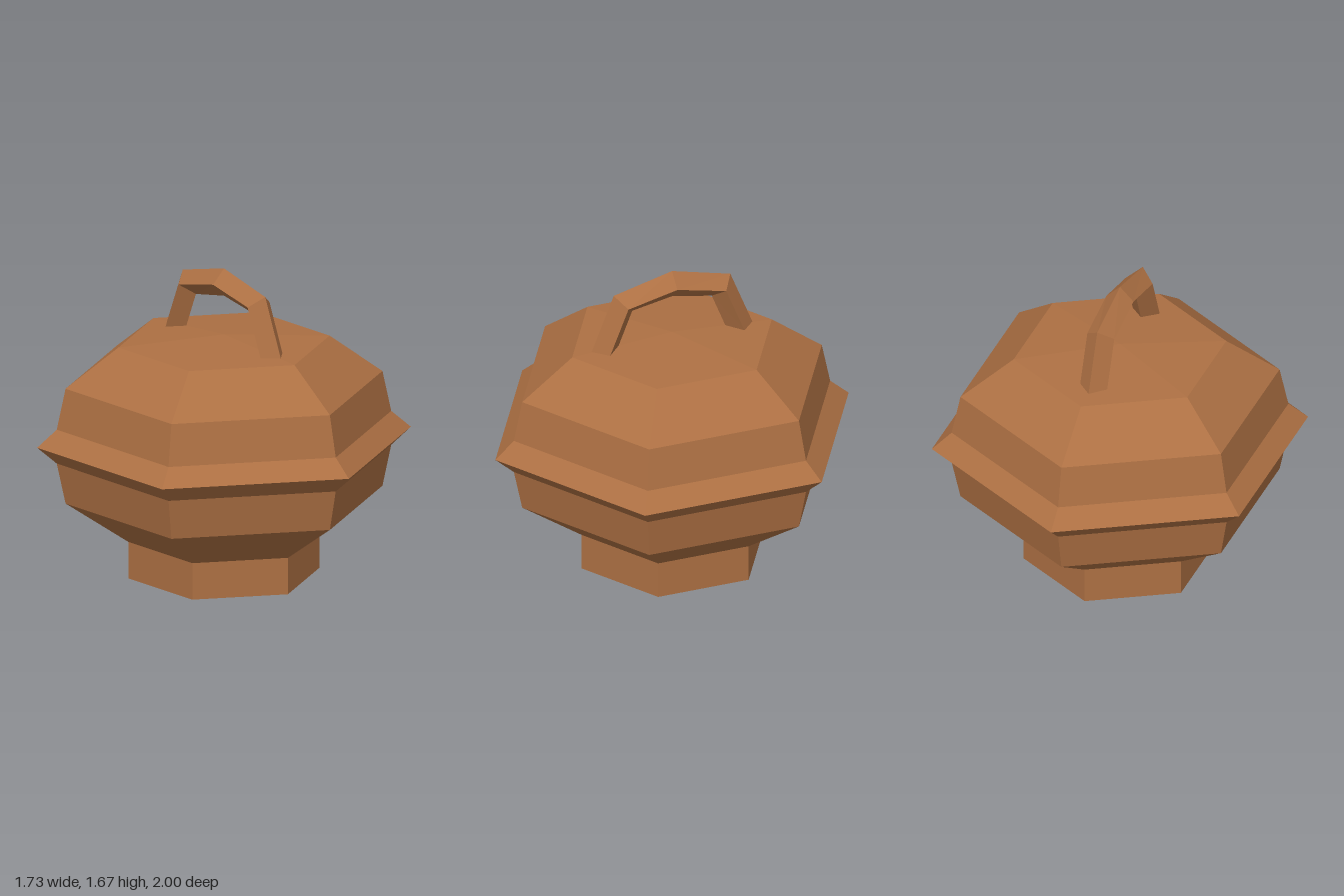
import * as THREE from 'three';

const SIDES = 6;

// Separate the faces so every facet gets its own flat normal
function faceted(geometry) {
  const flat = geometry.index ? geometry.toNonIndexed() : geometry;
  flat.computeVertexNormals();
  return flat;
}

// Six-sided turned part from [radius, height] points, bottom to top
function turned(profile) {
  const points = profile.map(([r, y]) => new THREE.Vector2(r, y));
  return faceted(new THREE.LatheGeometry(points, SIDES));
}

// Diamond-section bar bent over the lid, lofted from foot to foot
function handleGeometry() {
  // Each station: outer ridge, side edges and inner ridge as [z, y]
  const half = [
    [[0.455, 1.28], [0.38, 1.28], [0.305, 1.28]],
    [[0.33, 1.59], [0.277, 1.535], [0.225, 1.48]],
  ];
  const crown = [[0, 1.672], [0, 1.597], [0, 1.522]];
  const mirrored = half.map(s => s.map(([z, y]) => [-z, y])).reverse();
  const stations = [...half, crown, ...mirrored];
  const w = 0.076;

  const positions = [];
  for (const [outer, side, inner] of stations) {
    positions.push(0, outer[1], outer[0], w, side[1], side[0],
      0, inner[1], inner[0], -w, side[1], side[0]);
  }
  const index = [0, 2, 1, 0, 3, 2];
  for (let i = 0; i < stations.length - 1; i++) {
    for (let j = 0; j < 4; j++) {
      const a = i * 4 + j, b = i * 4 + (j + 1) % 4;
      index.push(a, b, a + 4, b, b + 4, a + 4);
    }
  }
  const e = (stations.length - 1) * 4;
  index.push(e, e + 1, e + 2, e, e + 2, e + 3);

  const geometry = new THREE.BufferGeometry();
  geometry.setAttribute('position', new THREE.Float32BufferAttribute(positions, 3));
  geometry.setIndex(index);
  return faceted(geometry);
}

export function createModel() {
  const group = new THREE.Group();
  group.name = 'liddedPot';
  const clay = new THREE.MeshStandardMaterial({ color: 0xad7043 });
  clay.name = 'brown clay';

  const add = (name, geometry) => {
    const mesh = new THREE.Mesh(geometry, clay);
    mesh.name = name;
    group.add(mesh);
  };

  add('foot', turned([[0, 0], [0.512, 0], [0.512, 0.2]]));
  // Bowl widens to the lower half of the rim
  add('bowl', turned([[0.512, 0.2], [0.848, 0.43], [0.895, 0.652], [1, 0.745]]));
  // Lid runs from the rim to a shallow peak
  add('lid', turned([[1, 0.745], [0.895, 0.838], [0.848, 1.06], [0.565, 1.27], [0, 1.31]]));
  add('handle', handleGeometry());
  return group;
}
